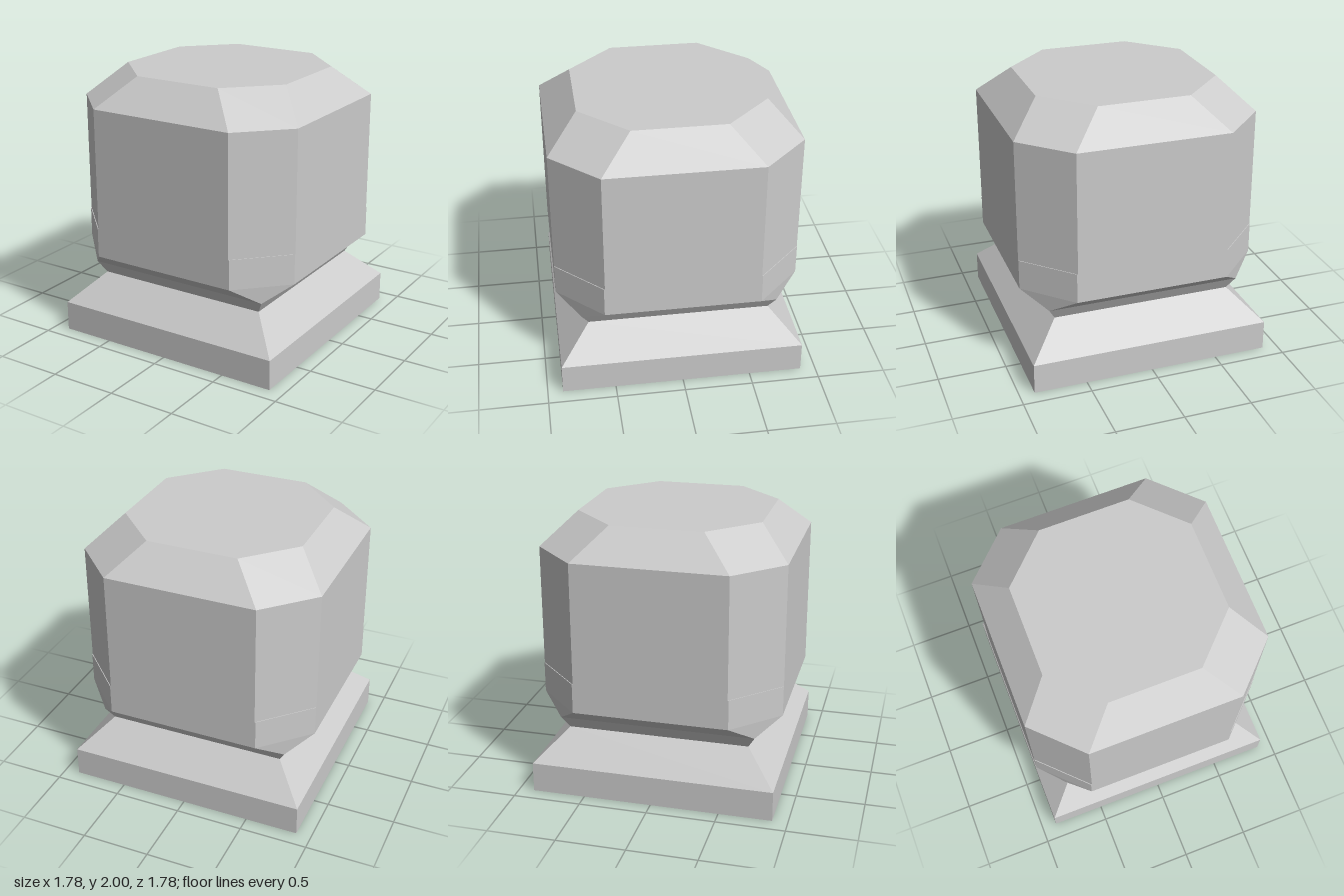
import * as THREE from 'three';

const material = new THREE.MeshStandardMaterial({ color: 0xcccccc, flatShading: true });

// Square ring of half-width h whose corners are cut where the flats end at +-c (c = h: plain square)
function ring([y, h, c = h]) {
  return [[h, -c], [h, c], [c, h], [-c, h], [-h, c], [-h, -c], [-c, -h], [c, -h]]
    .map(([x, z]) => new THREE.Vector3(x, y, z));
}

// Loft a stack of rings from bottom to top, with optional caps
function loft(name, profile, { bottom = false, top = false }) {
  const rings = profile.map(ring);
  const positions = [];
  const tri = (a, b, c) => {
    if (new THREE.Triangle(a, b, c).getArea() < 1e-6) return;
    for (const p of [a, b, c]) positions.push(p.x, p.y, p.z);
  };
  for (let r = 0; r < rings.length - 1; r++) {
    const lo = rings[r], hi = rings[r + 1];
    for (let i = 0; i < 8; i++) {
      const j = (i + 1) % 8;
      tri(lo[i], hi[i], hi[j]);
      tri(lo[i], hi[j], lo[j]);
    }
  }
  const first = rings[0], last = rings[rings.length - 1];
  for (let i = 1; i < 7; i++) {
    if (bottom) tri(first[0], first[i], first[i + 1]);
    if (top) tri(last[0], last[i + 1], last[i]);
  }
  const geometry = new THREE.BufferGeometry();
  geometry.setAttribute('position', new THREE.Float32BufferAttribute(positions, 3));
  geometry.computeVertexNormals();
  const mesh = new THREE.Mesh(geometry, material);
  mesh.name = name;
  return mesh;
}

export function createModel() {
  const model = new THREE.Group();
  model.name = 'chamferedBlockOnPlinth';

  // Square plinth with sloped shoulders
  model.add(loft('plinth', [
    [0, 0.889], [0.222, 0.889], [0.445, 0.667],
  ], { bottom: true }));

  // Flared underside and the slightly fuller lower corners
  model.add(loft('lowerBody', [
    [0.445, 0.667], [0.537, 0.718], [0.667, 0.889, 0.563], [0.889, 0.889, 0.563], [0.889, 0.889, 0.556],
  ], {}));

  // Upright block with cut corners and bevelled crown
  model.add(loft('upperBody', [
    [0.889, 0.889, 0.556], [1.778, 0.889, 0.556], [2, 0.667, 0.333],
  ], { top: true }));

  return model;
}
